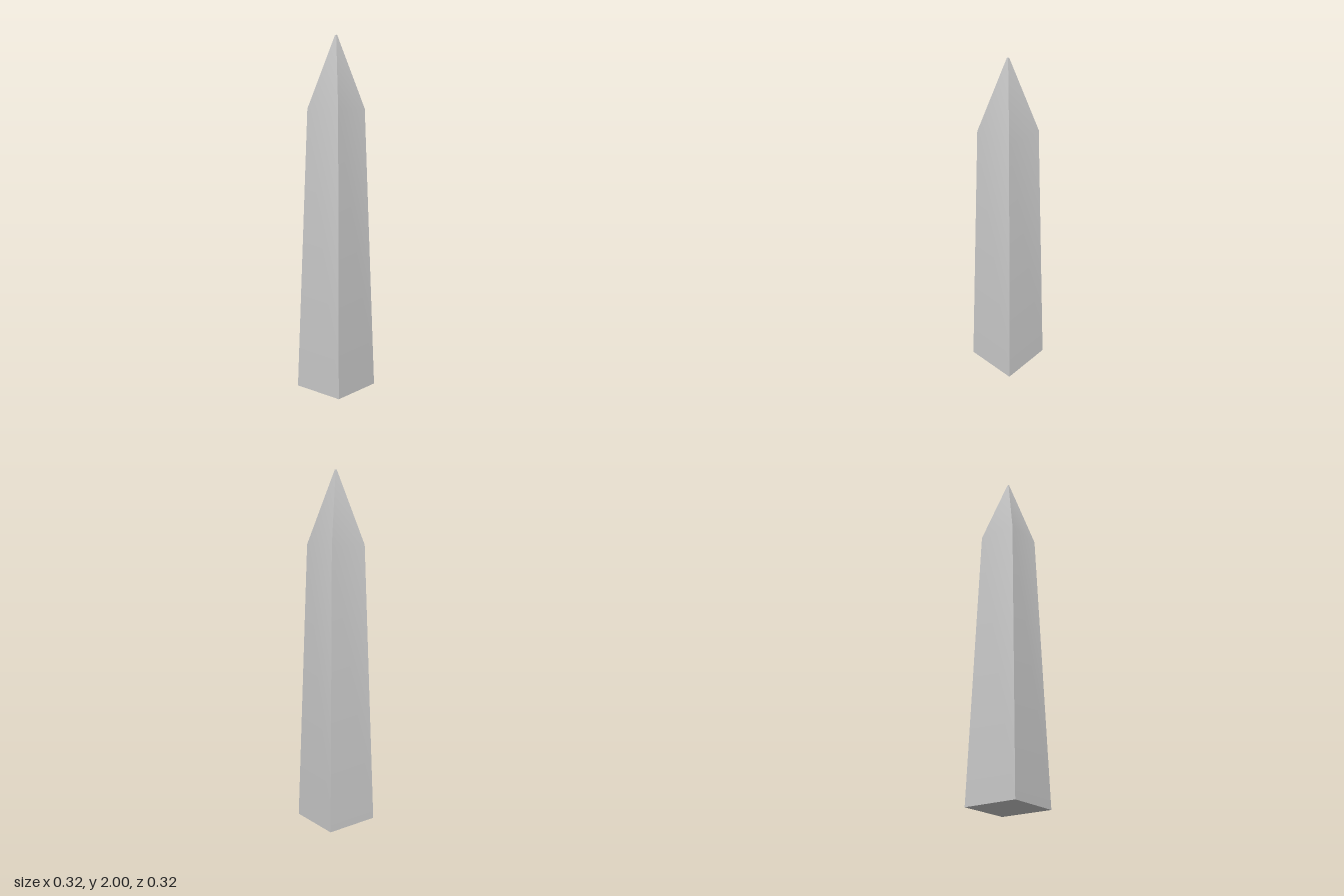
import * as THREE from 'three';
import { toCreasedNormals } from 'three/addons/utils/BufferGeometryUtils.js';

export function createModel() {
  const group = new THREE.Group();
  group.name = 'obelisk';

  // Half widths and heights: base, shoulder, blunt tip; closed at both ends
  const profile = [[0, 0], [0.158, 0], [0.113, 1.6], [0.004, 2], [0, 2]]
    .map(([half, y]) => new THREE.Vector2(half * Math.SQRT2, y));

  // Four-sided turn; corners stay sharp, shaft blends softly into the point
  const geometry = toCreasedNormals(
    new THREE.LatheGeometry(profile, 4, Math.PI / 4), Math.PI / 6);

  const pillar = new THREE.Mesh(
    geometry, new THREE.MeshStandardMaterial({ color: 0xcccccc }));
  pillar.name = 'taperedPillar';
  group.add(pillar);
  return group;
}
